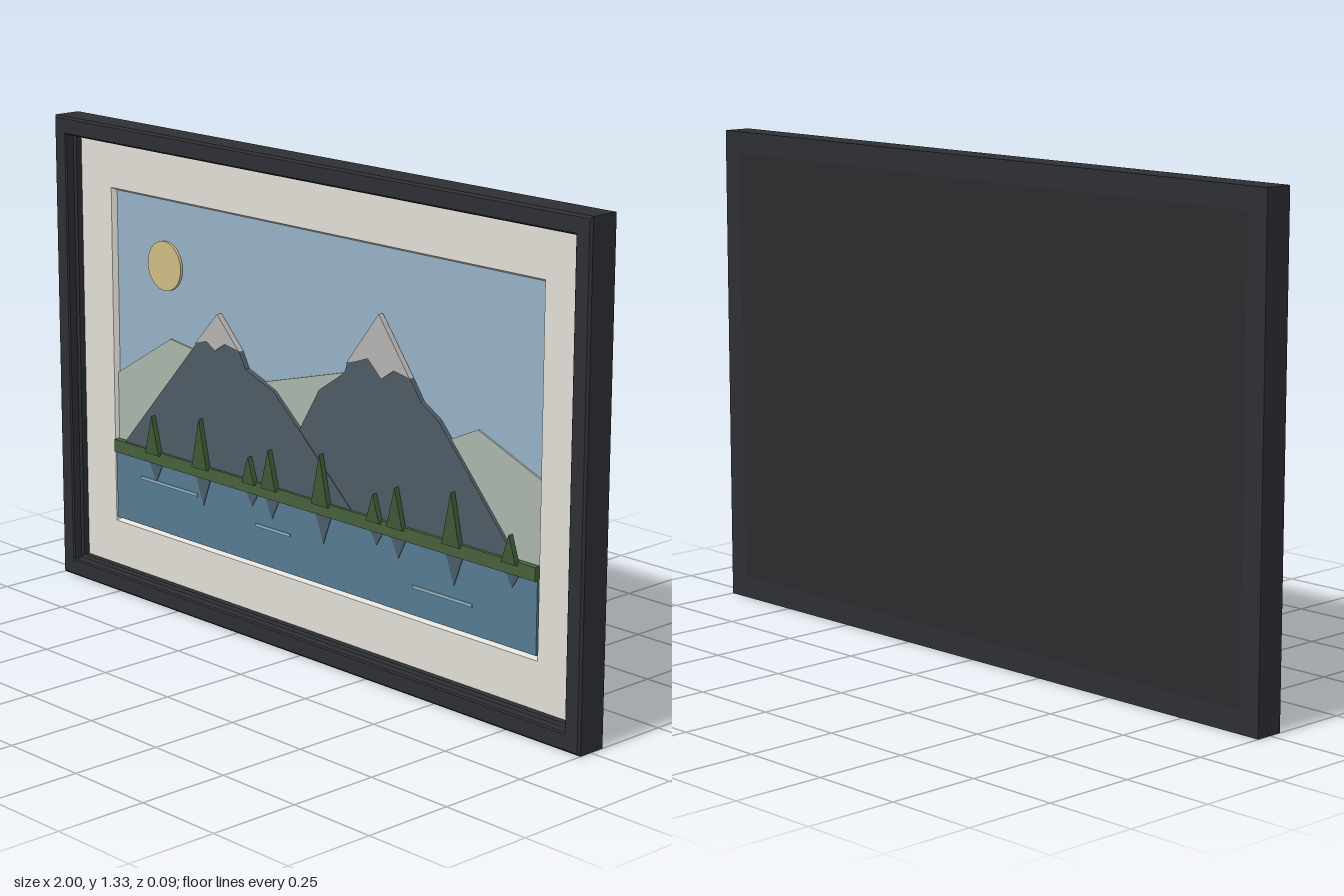
import * as THREE from 'three';

const W = 1, H = 1.333; // half width, full height

const mat = (color) => new THREE.MeshStandardMaterial({ color });
const colors = {
  frame: mat(0x2e2f34), backing: mat(0x2a2b2e), mount: mat(0xe0ddd5), sky: mat(0x94b0c4),
  sun: mat(0xcdbd83), hills: mat(0xabb5aa), mountain: mat(0x4e5a64), snow: mat(0xb4b3b2),
  water: mat(0x577a90), shore: mat(0x46603c), tree: mat(0x3d5836), reflection: mat(0x485c69),
  ripple: mat(0x93b1c4),
};

// Mitred rectangular ring: a profile of [inset, z] points swept round four corners
function ring(profile) {
  const corners = [[-1, 0], [1, 0], [1, 1], [-1, 1]];
  const at = ([inset, z], [sx, top]) => [sx * (W - inset), top ? H - inset : inset, z];
  const pos = [];
  for (let i = 0; i < 4; i++) {
    const c = corners[i], d = corners[(i + 1) % 4];
    for (let j = 0; j < profile.length - 1; j++) {
      const a = at(profile[j], c), b = at(profile[j], d);
      const e = at(profile[j + 1], d), f = at(profile[j + 1], c);
      pos.push(...a, ...b, ...e, ...a, ...e, ...f);
    }
  }
  const g = new THREE.BufferGeometry();
  g.setAttribute('position', new THREE.Float32BufferAttribute(pos, 3));
  g.computeVertexNormals();
  return g;
}

// Flat cut-out from an outline, between two depths
function cutout(points, back, front) {
  const shape = new THREE.Shape(points.map(([x, y]) => new THREE.Vector2(x, y)));
  const g = new THREE.ExtrudeGeometry(shape, { depth: front - back, bevelEnabled: false });
  return g.translate(0, 0, back);
}

const rect = (x0, x1, y0, y1) => [[x0, y0], [x1, y0], [x1, y1], [x0, y1]];

export function createModel() {
  const model = new THREE.Group();
  const add = (name, geometry, material, parent = model) => {
    const mesh = new THREE.Mesh(geometry, material);
    mesh.name = name;
    parent.add(mesh);
    return mesh;
  };
  const group = (name) => {
    const g = new THREE.Group();
    g.name = name;
    model.add(g);
    return g;
  };

  // Moulding with chamfered outer edge and a stepped inner lip
  add('frame', ring([
    [0.06, -0.043], [0, -0.043], [0, 0.037], [0.006, 0.043], [0.046, 0.043],
    [0.05, 0.039], [0.05, 0.016], [0.058, 0.012], [0.058, -0.012],
  ]), colors.frame);
  add('backing', cutout(rect(-0.95, 0.95, 0.05, H - 0.05), -0.0425, -0.03), colors.backing);

  // Mount board with a bevelled window
  add('mountBoard', ring([[0.05, -0.006], [0.186, -0.006], [0.194, -0.022]]), colors.mount);

  // Layered landscape
  add('sky', cutout(rect(-0.815, 0.815, 0.185, 1.15), -0.031, -0.021), colors.sky);
  const sun = new THREE.CylinderGeometry(0.069, 0.069, 0.01, 40);
  sun.rotateX(Math.PI / 2).translate(-0.6, 0.957, -0.018);
  add('sun', sun, colors.sun);
  add('distantHills', cutout([
    [-0.808, 0.4], [0.808, 0.4], [0.808, 0.645], [0.59, 0.73], [0.48, 0.68],
    [0.3, 0.79], [0.1, 0.785], [-0.2, 0.705], [-0.58, 0.755], [-0.808, 0.62],
  ], -0.022, -0.016), colors.hills);
  add('rightMountain', cutout([
    [-0.18, 0.41], [0.75, 0.41], [0.57, 0.61], [0.46, 0.73], [0.4, 0.765], [0.36, 0.82],
    [0.25, 0.965], [0.13, 0.815], [0.12, 0.79], [0.025, 0.727], [-0.05, 0.605],
  ], -0.02, -0.007), colors.mountain);
  add('leftMountain', cutout([
    [-0.785, 0.41], [0.17, 0.41], [-0.05, 0.605], [-0.15, 0.69], [-0.26, 0.73],
    [-0.285, 0.775], [-0.37, 0.86], [-0.46, 0.765],
  ], -0.02, -0.005), colors.mountain);
  add('rightSnowCap', cutout([
    [0.13, 0.818], [0.17, 0.83], [0.21, 0.845], [0.26, 0.8], [0.305, 0.83], [0.362, 0.82], [0.25, 0.968],
  ], -0.018, -0.003), colors.snow);
  add('leftSnowCap', cutout([
    [-0.462, 0.766], [-0.415, 0.78], [-0.38, 0.76], [-0.34, 0.785], [-0.283, 0.775], [-0.37, 0.863],
  ], -0.018, -0.002), colors.snow);
  add('lake', cutout(rect(-0.808, 0.808, 0.198, 0.4), -0.022, -0.006), colors.water);
  add('shore', cutout(rect(-0.808, 0.808, 0.392, 0.428), -0.02, 0.003), colors.shore);

  // Trees in three sizes, each with its reflection: [x, size]
  const trees = group('trees'), reflections = group('reflections');
  const tops = [0.495, 0.53, 0.56], dips = [0.355, 0.337, 0.312], halfWidths = [0.025, 0.029, 0.031];
  for (const [x, s] of [[-0.635, 1], [-0.435, 2], [-0.235, 0], [-0.155, 1], [0.045, 2],
    [0.245, 0], [0.325, 1], [0.525, 2], [0.725, 0]]) {
    const w = halfWidths[s];
    add('tree', cutout([[x - w, 0.42], [x + w, 0.42], [x, tops[s]]], -0.004, 0.011), colors.tree, trees);
    add('reflection', cutout([[x - w, 0.394], [x, dips[s]], [x + w, 0.394]], -0.008, -0.004),
      colors.reflection, reflections);
  }

  // Ripples on the lake: [left, right, height]
  const ripples = group('ripples');
  for (const [x0, x1, y] of [[-0.7, -0.46, 0.337], [-0.22, -0.085, 0.306], [0.38, 0.59, 0.275]]) {
    add('ripple', cutout(rect(x0, x1, y - 0.004, y + 0.004), -0.008, -0.003), colors.ripple, ripples);
  }
  return model;
}
